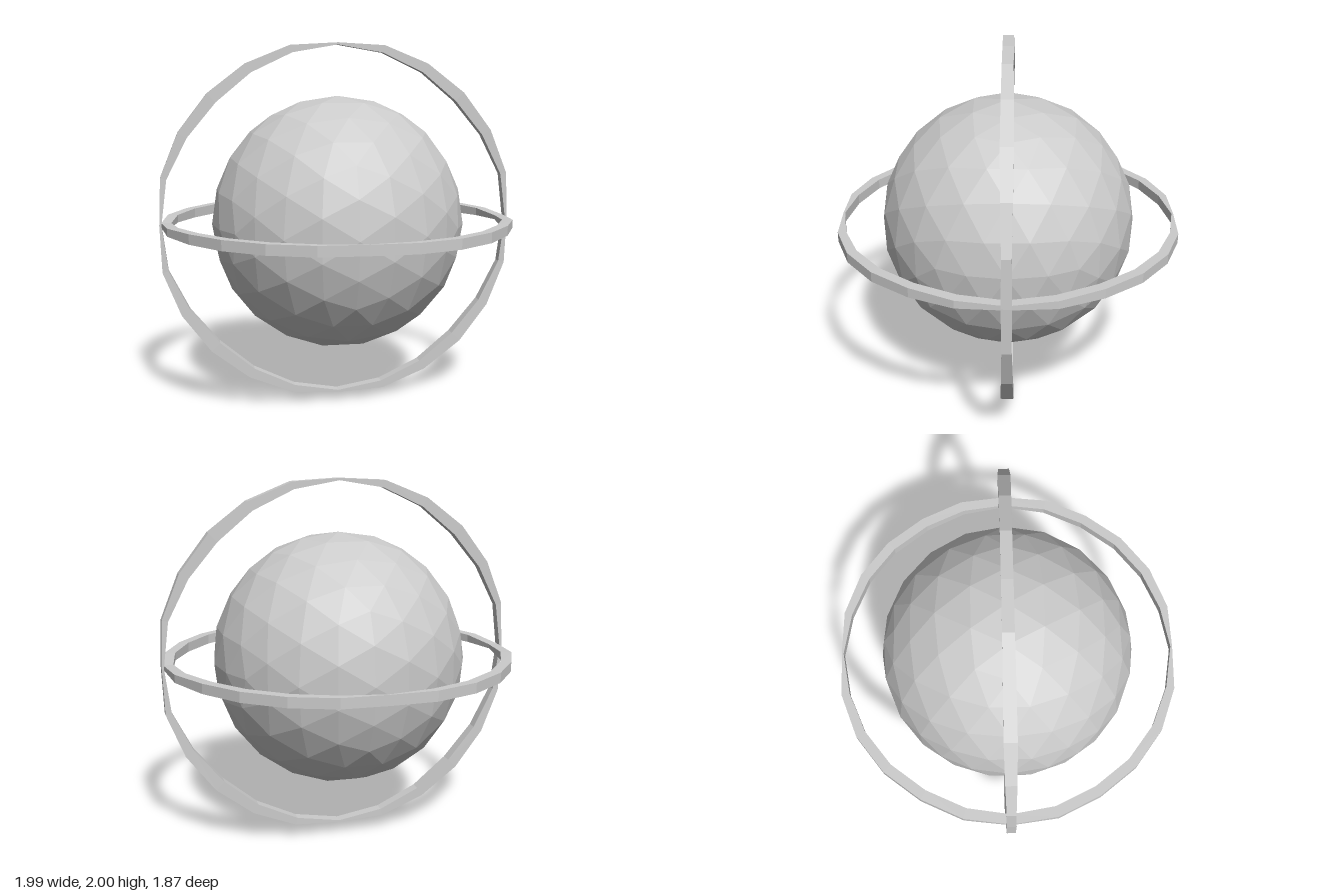
import * as THREE from 'three';

const material = new THREE.MeshStandardMaterial({ color: 0xcccccc, flatShading: true });

// Faceted ring in the xy plane. Each entry of quarter is [outer radius, inner
// radius, half depth] at 15 degree steps from the top round to the side.
function ringGeometry(quarter) {
  const steps = 24;
  const positions = [];
  const indices = [];
  for (let i = 0; i < steps; i++) {
    const k = i % 12;
    const [outer, inner, half] = quarter[k <= 6 ? k : 12 - k];
    const a = (i / steps) * Math.PI * 2;
    for (const [r, z] of [[outer, half], [outer, -half], [inner, -half], [inner, half]]) {
      positions.push(r * Math.sin(a), r * Math.cos(a), z);
    }
    const next = ((i + 1) % steps) * 4;
    for (let j = 0; j < 4; j++) {
      const m = (j + 1) % 4;
      const p = i * 4 + j, q = i * 4 + m, s = next + m, t = next + j;
      indices.push(p, t, q, q, t, s);
    }
  }
  const geometry = new THREE.BufferGeometry();
  geometry.setAttribute('position', new THREE.Float32BufferAttribute(positions, 3));
  geometry.setIndex(indices);
  const flat = geometry.toNonIndexed();
  flat.computeVertexNormals();
  return flat;
}

export function createModel() {
  const model = new THREE.Group();
  model.name = 'ringedSphere';

  const add = (name, geometry) => {
    const mesh = new THREE.Mesh(geometry, material);
    mesh.name = name;
    mesh.position.y = 1;
    model.add(mesh);
    return mesh;
  };

  // Faceted globe
  add('sphere', new THREE.IcosahedronGeometry(0.707, 3));

  // Upright ring, pinched thin at the top, bottom and both sides
  add('verticalRing', ringGeometry([
    [1.0, 0.988, 0.03], [1.02, 0.978, 0.03], [1.022, 0.965, 0.032], [1.022, 0.955, 0.034],
    [1.022, 0.965, 0.03], [1.02, 0.985, 0.025], [0.996, 0.984, 0.028],
  ]));

  // Level ring, pinched at front and back, flatter at the sides
  add('horizontalRing', ringGeometry([
    [0.935, 0.925, 0.028], [0.96, 0.915, 0.028], [0.97, 0.915, 0.028], [0.972, 0.915, 0.028],
    [0.972, 0.915, 0.027], [0.985, 0.925, 0.022], [0.985, 0.93, 0.012],
  ])).rotation.x = Math.PI / 2;

  return model;
}
